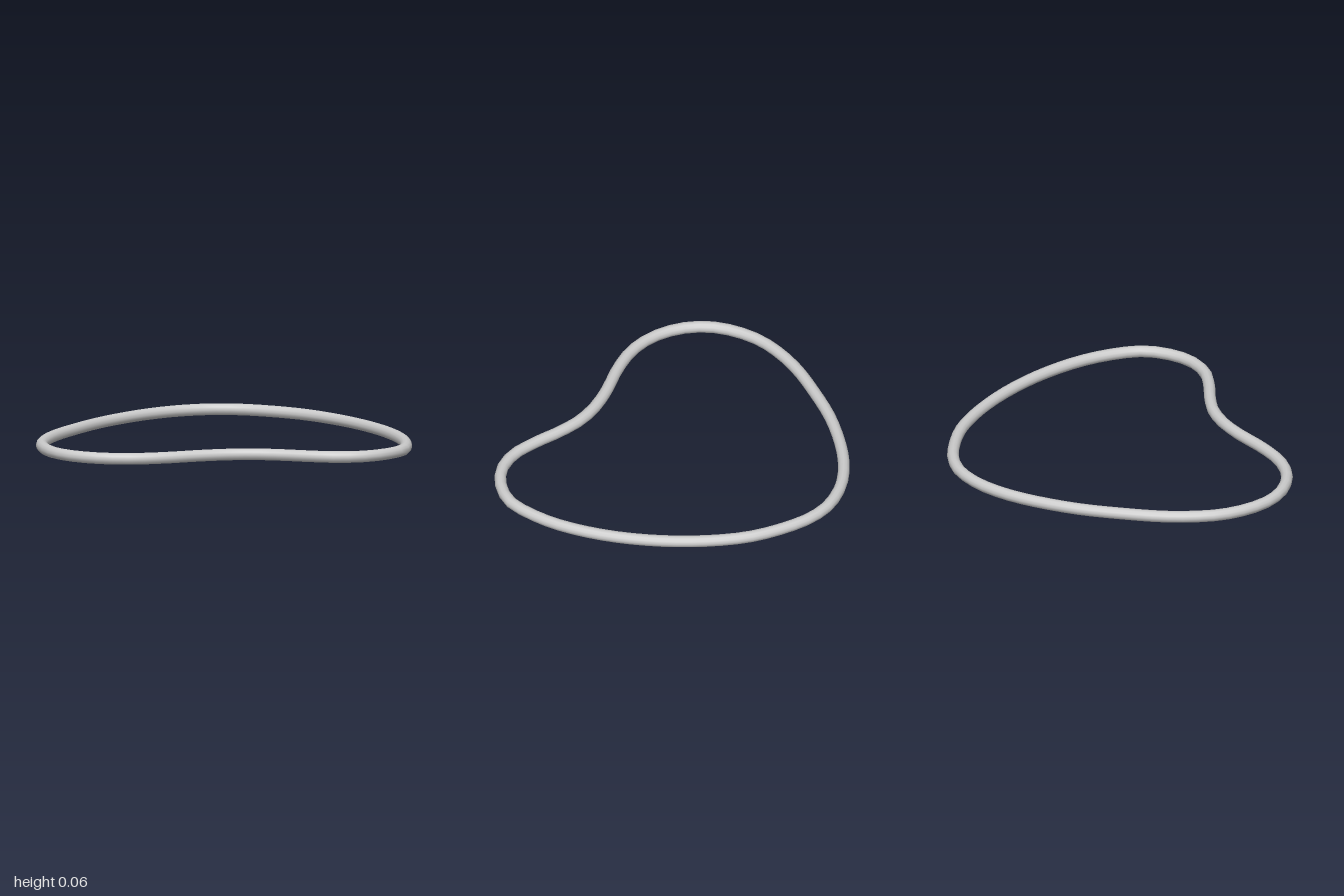
import * as THREE from 'three';

const RADIUS = 0.032;

// Centre line of the loop as [x, z], clockwise seen from above
const PATH = [
  [-0.235, -0.914], [0, -0.885], [0.22, -0.8], [0.46, -0.655], [0.685, -0.46],
  [0.86, -0.235], [0.95, -0.03], [0.967, 0.07], [0.95, 0.16], [0.91, 0.255],
  [0.84, 0.34], [0.73, 0.405], [0.58, 0.434], [0.42, 0.447], [0.28, 0.473],
  [0.15, 0.53], [0.02, 0.62], [-0.13, 0.752], [-0.26, 0.843], [-0.375, 0.89],
  [-0.48, 0.906], [-0.585, 0.897], [-0.685, 0.865], [-0.78, 0.803], [-0.87, 0.695],
  [-0.933, 0.565], [-0.963, 0.41], [-0.968, 0.25], [-0.945, 0.04], [-0.9, -0.21],
  [-0.81, -0.475], [-0.73, -0.63], [-0.645, -0.743], [-0.555, -0.823], [-0.465, -0.876],
  [-0.355, -0.907],
];

export function createModel() {
  const group = new THREE.Group();
  group.name = 'bentLoop';

  // Round rod bent into one closed, flat, kidney-shaped ring
  const curve = new THREE.CatmullRomCurve3(
    PATH.map(([x, z]) => new THREE.Vector3(x, RADIUS, z)), true, 'centripetal');
  const ring = new THREE.Mesh(
    new THREE.TubeGeometry(curve, 72, RADIUS, 12, true),
    new THREE.MeshStandardMaterial({ color: 0xcccccc }));
  ring.name = 'ring';
  group.add(ring);

  return group;
}
